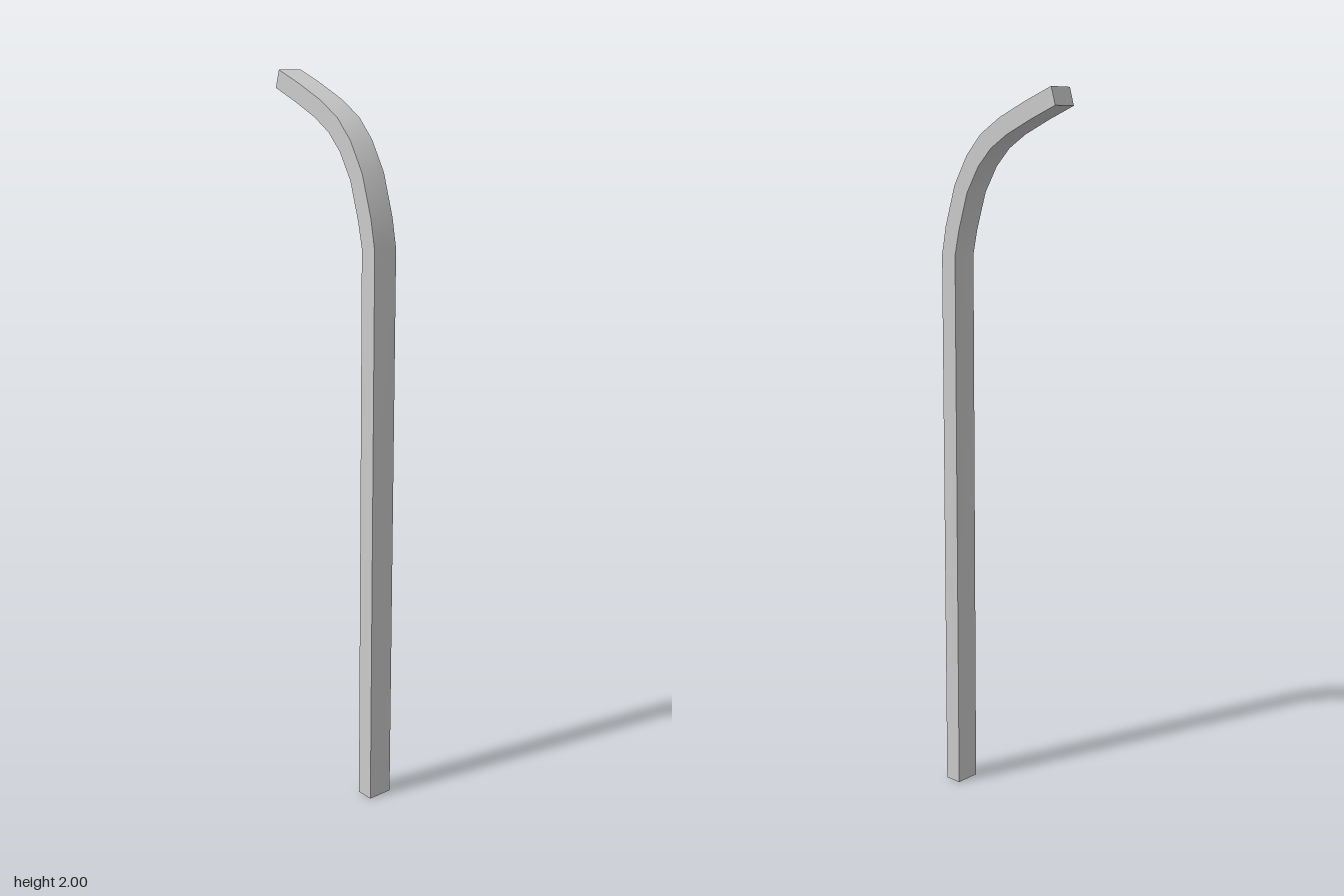
import * as THREE from 'three';
import { toCreasedNormals } from 'three/addons/utils/BufferGeometryUtils.js';

const DEPTH = 0.073;

export function createModel() {
  const group = new THREE.Group();
  group.name = 'curvedPost';

  // Side outline: straight post with an arm bending over to the right
  const outer = [
    [0.203, 0], [0.203, 1.56], [0.188, 1.638], [0.153, 1.75], [0.106, 1.83],
    [0.055, 1.884], [-0.013, 1.926], [-0.103, 1.966], [-0.19, 2.0],
  ];
  const inner = [
    [0.153, 0], [0.153, 1.56], [0.138, 1.628], [0.106, 1.73], [0.064, 1.8],
    [0.018, 1.847], [-0.038, 1.882], [-0.12, 1.919], [-0.204, 1.953],
  ];
  const outline = [...outer, ...inner.reverse()].map(([x, y]) => new THREE.Vector2(x, y));

  // Constant depth, smooth along the bend and sharp at the long edges
  const geometry = new THREE.ExtrudeGeometry(new THREE.Shape(outline), {
    depth: DEPTH,
    bevelEnabled: false,
  });
  geometry.translate(0, 0, -DEPTH / 2);

  const post = new THREE.Mesh(
    toCreasedNormals(geometry, 0.5),
    new THREE.MeshStandardMaterial({ color: 0xcccccc })
  );
  post.name = 'bentBar';
  group.add(post);
  return group;
}
